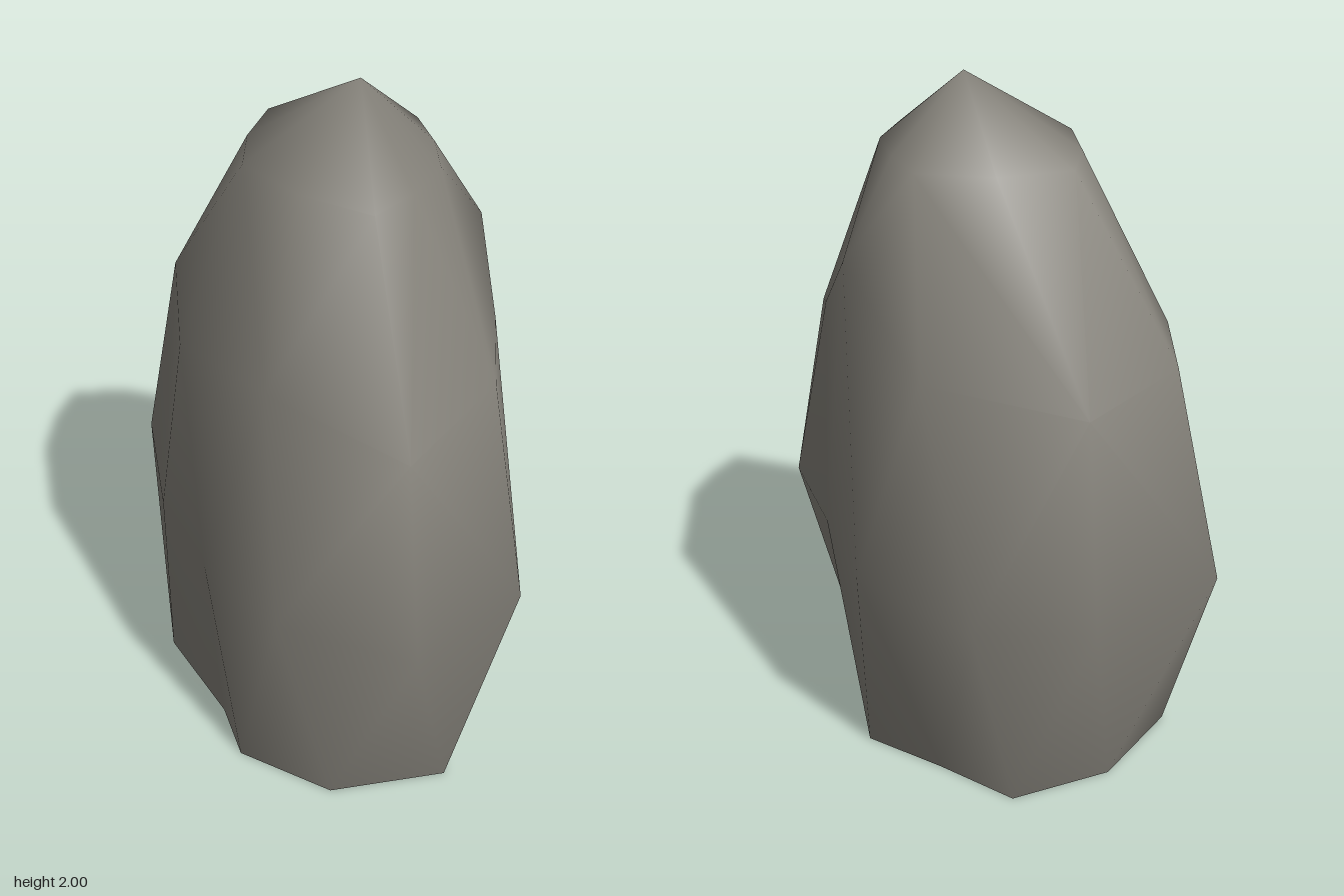
import * as THREE from 'three';

// Ring cross-sections from the ground up, each point [x, y, z], counter-clockwise seen from above
const RINGS = [
  [[.25, 0, .46], [.31, 0, .17], [.40, 0, -.04], [.25, 0, -.24], [.11, 0, -.45],
   [-.19, 0, -.44], [-.45, 0, -.26], [-.34, 0, .07], [-.32, 0, .26], [-.09, 0, .46]],
  [[.44, .66, .47], [.45, .66, .14], [.463, .66, -.18], [.27, .66, -.56], [-.03, .66, -.68],
   [-.45, .66, -.54], [-.465, .66, -.14], [-.39, .66, .17], [-.24, .66, .46], [.10, .66, .675]],
  [[.38, 1.27, .32], [.43, 1.35, .12], [.44, 1.55, -.09], [.33, 1.30, -.35], [-.02, 1.26, -.62],
   [-.32, 1.30, -.50], [-.37, 1.35, -.33], [-.40, 1.26, -.05], [-.24, 1.36, .37], [.08, 1.26, .61]],
  [[.17, 1.8, .22], [.27, 1.8, .10], [.29, 1.8, -.05], [.28, 1.8, -.19], [.10, 1.8, -.29],
   [-.10, 1.8, -.32], [-.18, 1.8, -.18], [-.22, 1.8, -.02], [-.11, 1.8, .17], [.05, 1.8, .31]],
];
const APEX = [.09, 2, -.04];

function makeGeometry(points, index) {
  const geometry = new THREE.BufferGeometry();
  geometry.setAttribute('position', new THREE.Float32BufferAttribute(points.flat(), 3));
  geometry.setIndex(index);
  geometry.computeVertexNormals();
  return geometry;
}

// Is point d in front of the plane of triangle a, b, c?
function isOutside(a, b, c, d) {
  const [va, vb, vc, vd] = [a, b, c, d].map((p) => new THREE.Vector3(...p));
  const normal = vb.sub(va).cross(vc.sub(va));
  return normal.dot(vd.sub(va)) > 0;
}

export function createModel() {
  const group = new THREE.Group();
  group.name = 'standingStone';
  const stone = new THREE.MeshStandardMaterial({ color: 0x87847c });
  stone.name = 'warmGreyStone';

  // Smooth-shaded body: bands between rings, closed by a fan at the peak
  const n = RINGS[0].length;
  const points = [...RINGS.flat(), APEX];
  const index = [];
  for (let r = 0; r < RINGS.length; r++) {
    for (let i = 0; i < n; i++) {
      const j = (i + 1) % n;
      const a = r * n + i, b = r * n + j;
      if (r === RINGS.length - 1) {
        index.push(a, b, points.length - 1);
        continue;
      }
      const c = b + n, d = a + n;
      // Pick the diagonal that keeps the upper bands convex
      const flip = r > 0 && isOutside(points[a], points[b], points[d], points[c]);
      if (flip) index.push(a, b, c, a, c, d);
      else index.push(a, b, d, d, b, c);
    }
  }
  const body = new THREE.Mesh(makeGeometry(points, index), stone);
  body.name = 'stoneBody';
  group.add(body);

  // Flat underside
  const baseIndex = [];
  for (let i = 0; i < n; i++) baseIndex.push((i + 1) % n, i, n);
  const base = new THREE.Mesh(makeGeometry([...RINGS[0], [0, 0, 0]], baseIndex), stone);
  base.name = 'stoneBase';
  group.add(base);

  return group;
}
